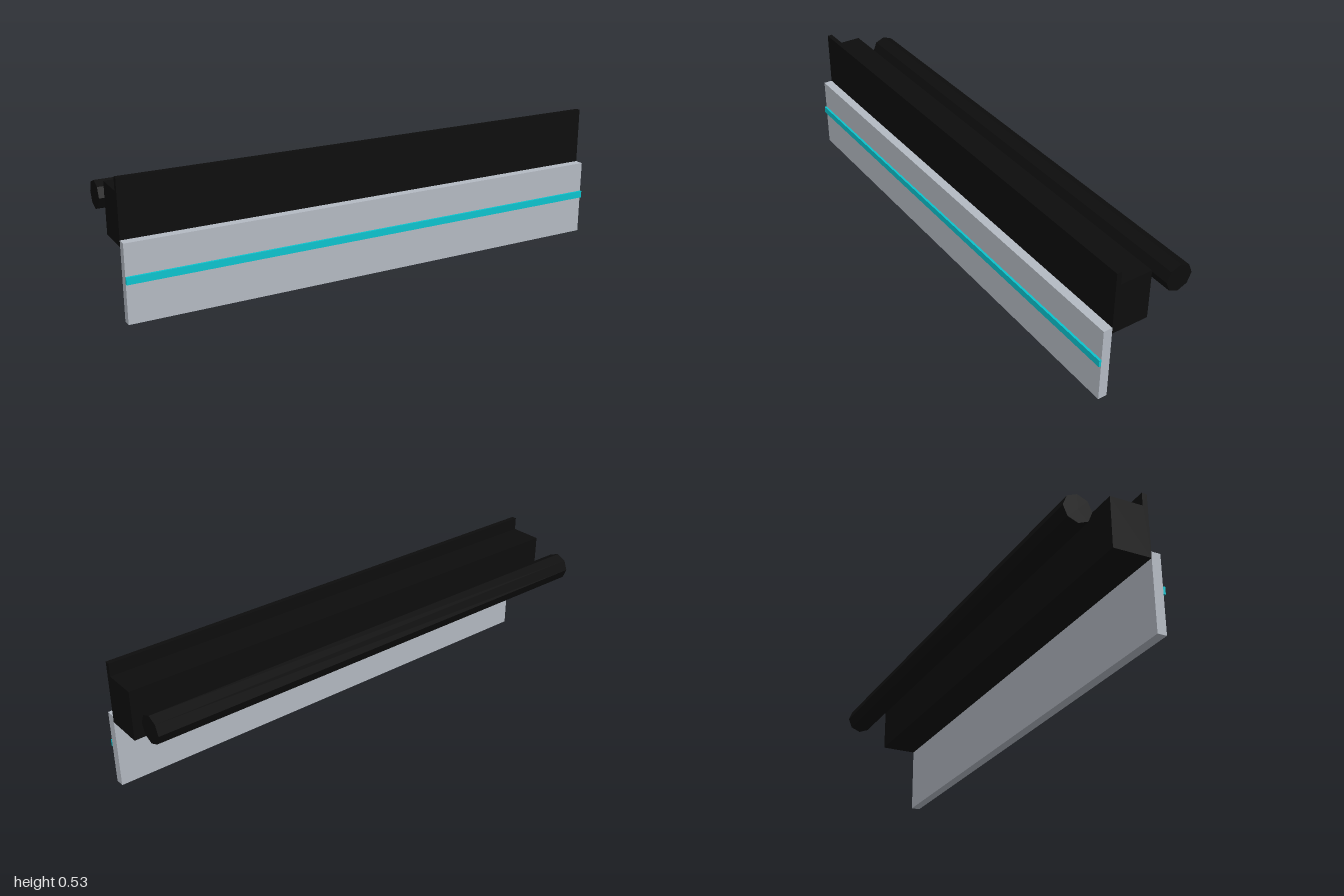
import * as THREE from 'three';

const LENGTH = 2;

const paint = (name, color) => {
  const m = new THREE.MeshStandardMaterial({ color, flatShading: true });
  m.name = name;
  return m;
};

export function createModel() {
  const black = paint('black', 0x0d0d0d);
  const grey = paint('light grey', 0xb4bac3);
  const cyan = paint('cyan', 0x0cc4ce);

  const group = new THREE.Group();
  group.name = 'railBarrier';

  // Full-length bar with the given height and depth ranges
  const bar = (name, material, y0, y1, z0, z1) => {
    const mesh = new THREE.Mesh(new THREE.BoxGeometry(LENGTH, y1 - y0, z1 - z0), material);
    mesh.position.set(0, (y0 + y1) / 2, (z0 + z1) / 2);
    mesh.name = name;
    group.add(mesh);
  };

  // Front panel with its raised stripe
  bar('frontPanel', grey, 0, 0.302, 0.143, 0.179);
  bar('accentStripe', cyan, 0.152, 0.18, 0.179, 0.188);

  // Beam behind the panel: L-shaped section with an upright front lip
  const section = new THREE.Shape([
    [0.006, 0.277], [0.006, 0.475], [-0.123, 0.475],
    [-0.123, 0.526], [-0.143, 0.526], [-0.143, 0.277],
  ].map(([x, y]) => new THREE.Vector2(x, y)));
  const beamGeometry = new THREE.ExtrudeGeometry(section, { depth: LENGTH, bevelEnabled: false });
  beamGeometry.translate(0, 0, -LENGTH / 2).rotateY(Math.PI / 2);
  const beam = new THREE.Mesh(beamGeometry, black);
  beam.name = 'beam';
  group.add(beam);

  // Octagonal rail at the back
  const railGeometry = new THREE.CylinderGeometry(0.055, 0.055, LENGTH, 8).rotateZ(Math.PI / 2);
  const rail = new THREE.Mesh(railGeometry, black);
  rail.position.set(0, 0.389, -0.133);
  rail.name = 'rearRail';
  group.add(rail);

  return group;
}
